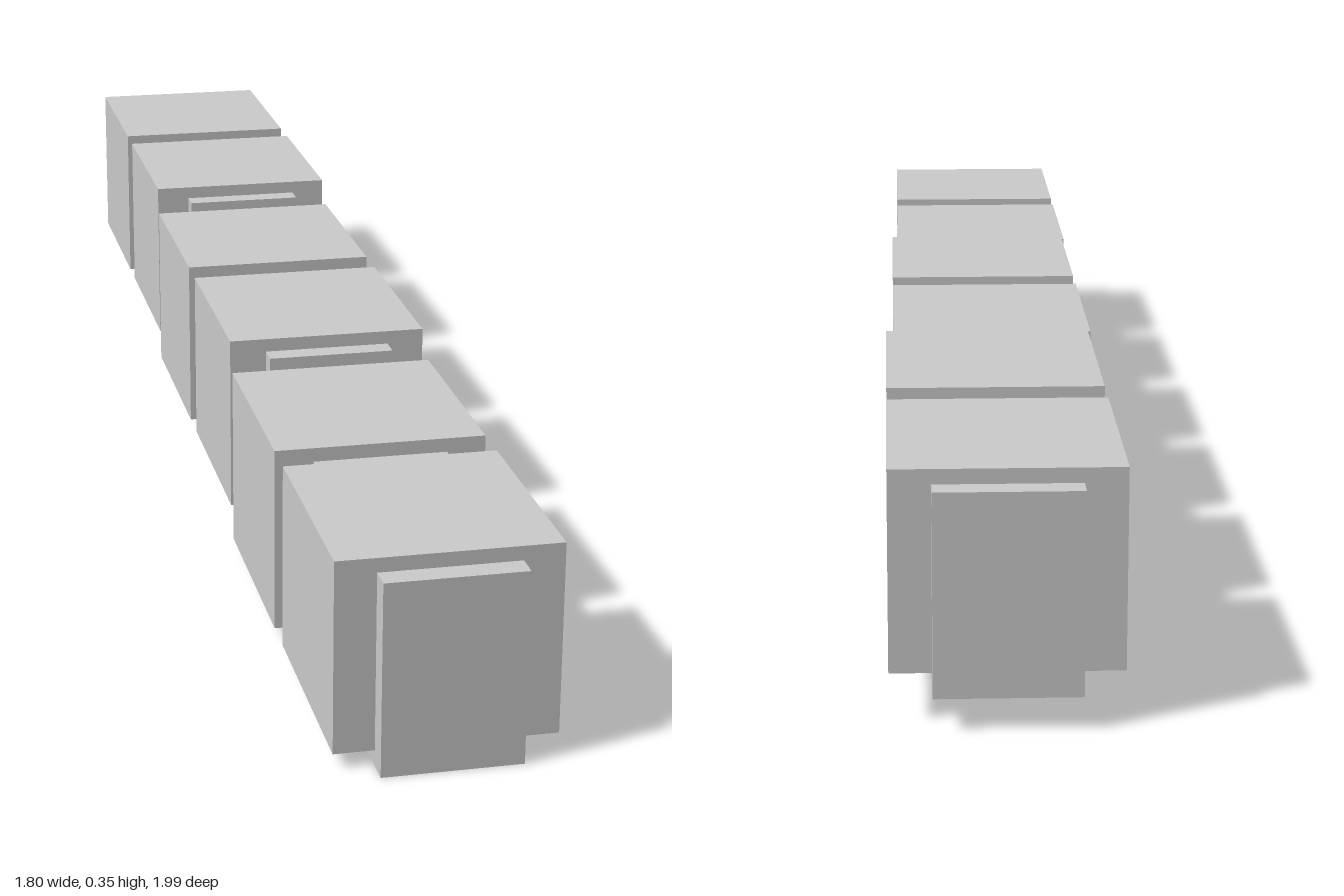
import * as THREE from 'three';

const material = new THREE.MeshStandardMaterial({ color: 0xcccccc, flatShading: true });

function box(name, width, height, length, y, z) {
  const mesh = new THREE.Mesh(new THREE.BoxGeometry(width, height, length), material);
  mesh.name = name;
  mesh.position.set(0, y, z);
  return mesh;
}

// One segment: a narrow bar through two wide blocks, running along local z
function createSegment() {
  const segment = new THREE.Group();
  segment.name = 'segment';
  segment.add(box('coreBar', 0.2, 0.284, 0.806, 0.142, 0));
  for (const side of [-1, 1]) {
    segment.add(box('block', 0.316, 0.282, 0.338, 0.164, side * 0.199));
  }
  return segment;
}

export function createModel() {
  const model = new THREE.Group();
  model.name = 'segmentedRow';
  // Three segments in a diagonal row, each a small step lower towards the front
  for (const i of [-1, 0, 1]) {
    const segment = createSegment();
    segment.position.set(i * 0.537, 0.0235 * (1 - i), i * 0.617);
    segment.rotation.y = 0.73;
    model.add(segment);
  }
  return model;
}
